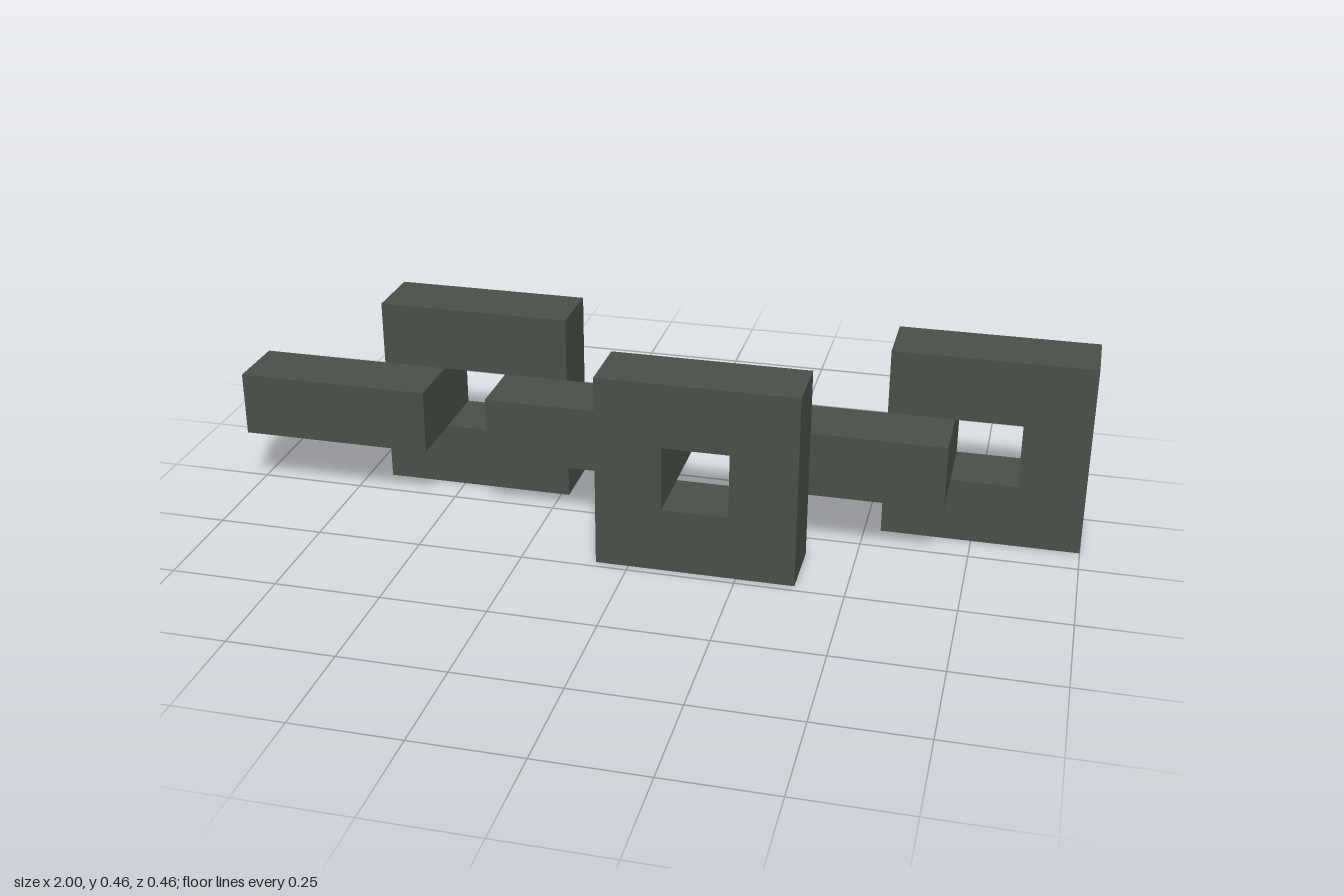
import * as THREE from 'three';

const U = 2 / 13; // one block unit: the chain is 13 units long

export function createModel() {
  const group = new THREE.Group();
  group.name = 'blockChain';
  const material = new THREE.MeshStandardMaterial({ color: 0x4a5149, flatShading: true });

  // Square link, 3 x 3 x 1 units with a 1 x 1 hole
  const square = (h) => [[-h, -h], [h, -h], [h, h], [-h, h]].map(([x, y]) => new THREE.Vector2(x, y));
  const shape = new THREE.Shape(square(1.5 * U));
  shape.holes.push(new THREE.Path(square(0.5 * U).reverse()));
  const linkGeometry = new THREE.ExtrudeGeometry(shape, { depth: U, bevelEnabled: false });
  linkGeometry.translate(0, 0, -U / 2);

  // Connecting bar, 3 x 1 x 1 units
  const barGeometry = new THREE.BoxGeometry(3 * U, U, U);

  const add = (name, geometry, x, z) => {
    const mesh = new THREE.Mesh(geometry, material);
    mesh.name = name;
    mesh.position.set(x * U, 1.5 * U, z * U);
    group.add(mesh);
  };

  // Bars run along the middle; links alternate behind and in front of them
  for (let i = 0; i < 3; i++) {
    add(`bar${i + 1}`, barGeometry, -5 + 4 * i, 0);
    add(`squareLink${i + 1}`, linkGeometry, -3 + 4 * i, i === 1 ? 1 : -1);
  }
  return group;
}
